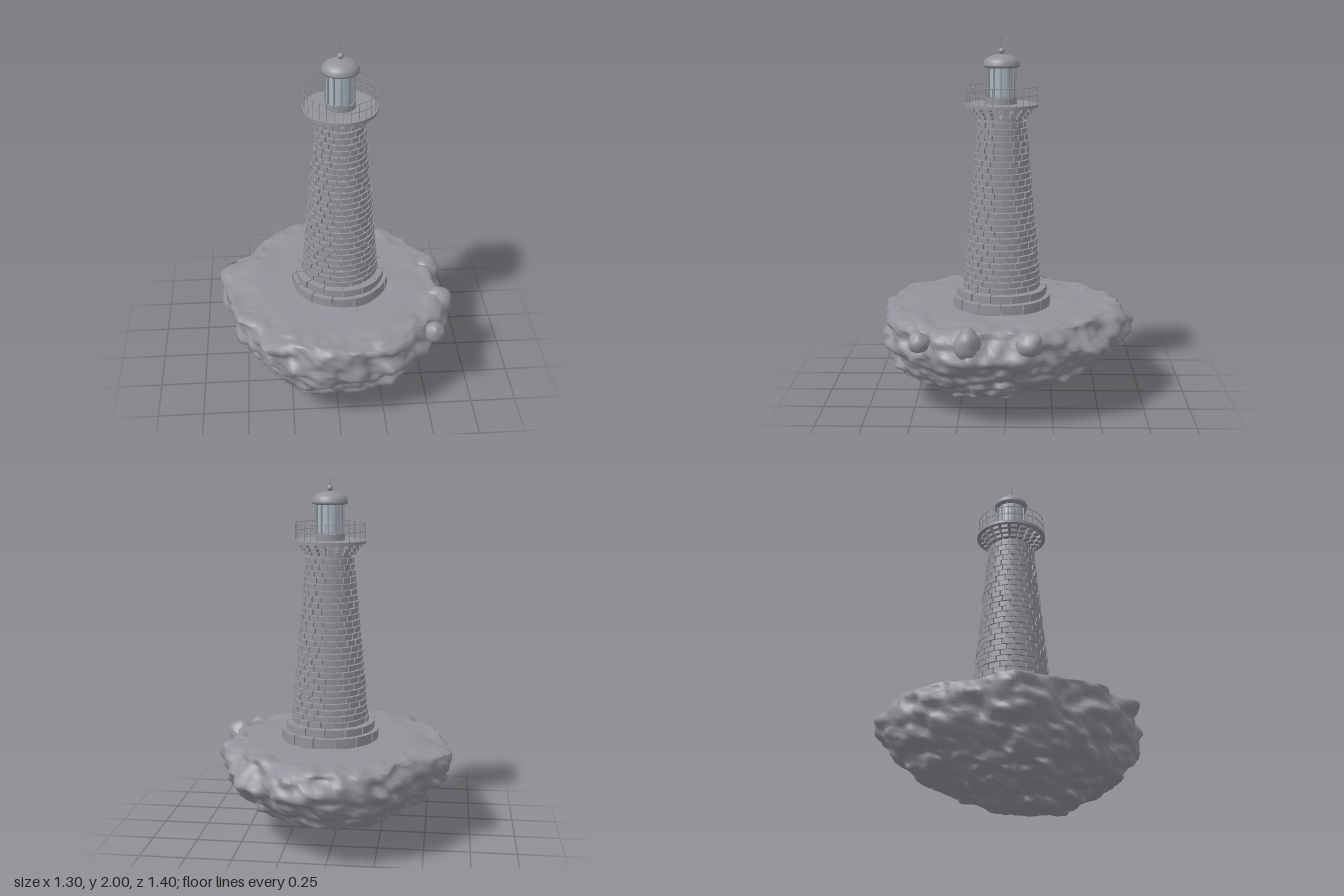
import * as THREE from 'three';
import { mergeGeometries } from 'three/addons/utils/BufferGeometryUtils.js';

const stone = new THREE.MeshStandardMaterial({ color: 0x92939a, side: THREE.DoubleSide });
stone.name = 'grey stone';
const glass = new THREE.MeshStandardMaterial({ color: 0xa9b6c0 });
glass.name = 'pale glass';

// Seeded hash and smooth 3D noise in -1..1
function hash(x, y, z) {
  let h = (x * 374761393 + y * 668265263 + z * 1274126177) | 0;
  h = Math.imul(h ^ (h >>> 13), 1274126177);
  return (((h ^ (h >>> 16)) >>> 0) / 4294967295) * 2 - 1;
}
function noise(x, y, z) {
  const f = [x, y, z].map(Math.floor);
  const [u, v, w] = [x - f[0], y - f[1], z - f[2]].map((t) => t * t * (3 - 2 * t));
  let sum = 0;
  for (let i = 0; i < 8; i++) {
    const a = i & 1, b = (i >> 1) & 1, c = i >> 2;
    sum += hash(f[0] + a, f[1] + b, f[2] + c) * (a ? u : 1 - u) * (b ? v : 1 - v) * (c ? w : 1 - w);
  }
  return sum;
}

function add(group, name, geometry, y = 0, material = stone) {
  const mesh = new THREE.Mesh(geometry, material);
  mesh.name = name;
  mesh.position.y = y;
  group.add(mesh);
  return mesh;
}

// Floating island: plan outline every 15 degrees from +x towards +z
const OUTLINE = [0.645, 0.655, 0.675, 0.67, 0.7, 0.675, 0.67, 0.685, 0.675, 0.655, 0.65, 0.615,
  0.645, 0.655, 0.57, 0.605, 0.65, 0.655, 0.69, 0.685, 0.655, 0.655, 0.635, 0.64];
// Pairs of height and share of the outline, from the top centre to the lowest point
const PROFILE = [[0.545, 0], [0.545, 0.3], [0.545, 0.6], [0.543, 0.85], [0.537, 0.95], [0.515, 0.985], [0.46, 0.99],
  [0.4, 0.985], [0.34, 0.94], [0.28, 0.88], [0.21, 0.78], [0.15, 0.64], [0.1, 0.49], [0.05, 0.31], [0.015, 0.15], [0.002, 0]];

function islandGeometry() {
  const { smoothstep } = THREE.MathUtils;
  const cols = 200, rows = 120, pos = [], index = [];
  const curve = new THREE.CatmullRomCurve3(PROFILE.map(([y, s]) => new THREE.Vector3(s, y, 0)), false, 'centripetal');
  for (let r = 0; r <= rows; r++) {
    const p = curve.getPointAt(r / rows);
    const s = Math.max(p.x, 0), drop = Math.max(0, (0.4 - p.y) / 0.4);
    const isTop = p.y > 0.52;
    const rim = smoothstep(p.y, 0.42, 0.53), below = 1 - smoothstep(p.y, 0.4, 0.5);
    for (let c = 0; c < cols; c++) {
      const a = (c / cols) * Math.PI * 2, k = (c / cols) * 24, i = Math.floor(k);
      const ca = Math.cos(a), sa = Math.sin(a);
      const t = k - i, e = t * t * (3 - 2 * t);
      // The rim steps in at the back and on +x; the wall below it steps in on -x
      const tuck = 1 - rim * (0.05 * Math.max(0, ca) + 0.06 * Math.max(0, -sa)) - below * 0.05 * Math.max(0, -ca);
      const radius = (OUTLINE[i] * (1 - e) + OUTLINE[(i + 1) % 24] * e) * tuck;
      const x = ca * radius * s, z = sa * radius * s;
      const lumps = 0.022 * noise(x * 5, p.y * 14, z * 5) + 0.03 * noise(x * 11 + 9, p.y * 20, z * 11)
        + 0.016 * noise(x * 23, p.y * 36 + 5, z * 23) + 0.006 * noise(x * 45, p.y * 60, z * 45 + 3);
      const edge = smoothstep(s, 0.65, 0.95);
      const out = lumps * (isTop ? edge : Math.min(1, s * 3));
      const lift = isTop
        ? 0.005 * noise(x * 7, 3, z * 7) + edge * (0.012 * noise(x * 9, 7, z * 9) + 0.008 * noise(x * 22, 1, z * 22)
          - 0.012 * Math.max(0, -ca))
        : -drop * 0.5 * lumps * Math.min(1, s * 3);
      pos.push(x + ca * out, Math.max(0, p.y + lift), z + sa * out + 0.12 * drop);
      if (r < rows) {
        const d = (c + 1) % cols, A = r * cols + c, B = r * cols + d;
        index.push(A, B, A + cols, B, B + cols, A + cols);
      }
    }
  }
  const g = new THREE.BufferGeometry();
  g.setAttribute('position', new THREE.Float32BufferAttribute(pos, 3));
  g.setIndex(index);
  g.computeVertexNormals();
  return g;
}

// Lumpy boulder with smooth normals
function boulderGeometry(rx, ry, rz, seed) {
  const g = new THREE.SphereGeometry(1, 28, 20);
  const p = g.attributes.position;
  for (let i = 0; i < p.count; i++) {
    const x = p.getX(i), y = p.getY(i), z = p.getZ(i);
    const k = 1 + 0.14 * noise(x * 1.6 + seed, y * 1.6, z * 1.6);
    p.setXYZ(i, x * k * rx, y * k * ry, z * k * rz);
  }
  g.computeVertexNormals();
  return g;
}

// One ring of wedge-shaped blocks, each with its outer face bent to the ring
function courseBlocks(list, { y, height, outer, depth, count, turn = 0, gap = 0.007, jitter = 0 }) {
  for (let i = 0; i < count; i++) {
    const turned = ((i + turn) / count) * Math.PI * 2;
    const r = outer + jitter * noise(i * 3.7 + 0.5, y * 91, 2.5);
    const g = new THREE.BoxGeometry(1, height, depth, 2, 1, 1);
    const p = g.attributes.position;
    for (let v = 0; v < p.count; v++) {
      const radius = r - depth / 2 + p.getZ(v);
      const angle = p.getX(v) * (Math.PI * 2 / count - gap / radius);
      p.setXYZ(v, Math.sin(angle) * radius, p.getY(v) + y + height / 2, Math.cos(angle) * radius);
    }
    g.computeVertexNormals();
    list.push(g.rotateY(turned));
  }
}

export function createModel() {
  const model = new THREE.Group();
  model.name = 'lighthouseIsland';
  add(model, 'island', islandGeometry());

  // Boulders set in the +x rim
  [[0.575, 0.475, 0.185, 0.085, 0.09, 0.07], [0.525, 0.475, 0.44, 0.055, 0.055, 0.055],
    [0.55, 0.485, -0.125, 0.08, 0.07, 0.08]]
    .forEach(([x, y, z, rx, ry, rz], i) => add(model, 'boulder', boulderGeometry(rx, ry, rz, i * 5 + 1)).position.set(x, y, z));

  const tower = new THREE.Group();
  tower.name = 'lighthouse';
  tower.position.set(0.04, 0, 0.027);
  model.add(tower);

  // Plinth of two block courses
  const plinth = [];
  courseBlocks(plinth, { y: 0.53, height: 0.07, outer: 0.27, depth: 0.08, count: 14, gap: 0.006, jitter: 0.005 });
  courseBlocks(plinth, { y: 0.603, height: 0.04, outer: 0.248, depth: 0.07, count: 14, turn: 0.5, gap: 0.006, jitter: 0.005 });
  add(tower, 'plinth', mergeGeometries(plinth));

  // Tapering brick shaft around a solid core
  const bricks = [], courses = 27, bottom = 0.645, top = 1.555, step = (top - bottom) / courses;
  for (let i = 0; i < courses; i++) {
    courseBlocks(bricks, { y: bottom + i * step, height: step - 0.005, outer: 0.213 - 0.081 * (i / (courses - 1)),
      depth: 0.03, count: 18, turn: (i % 2) * 0.5 + 0.2 * hash(i, 4, 9), jitter: 0.005 });
  }
  add(tower, 'shaftBricks', mergeGeometries(bricks));
  add(tower, 'shaftCore', new THREE.CylinderGeometry(0.114, 0.196, 1.035, 40), 1.0525);

  // Stepped corbels under the gallery, with open joints
  const corbels = [];
  [[1.566, 0.142], [1.587, 0.158], [1.608, 0.175]].forEach(([y, outer], i) =>
    courseBlocks(corbels, { y, height: 0.018, outer, depth: 0.06, count: 20, gap: 0.012 + i * 0.004, turn: 0.5 }));
  add(tower, 'corbels', mergeGeometries(corbels));

  // Gallery floor and railing
  add(tower, 'galleryFloor', new THREE.CylinderGeometry(0.197, 0.197, 0.016, 48), 1.633);
  const rail = [];
  for (const y of [1.69, 1.733]) {
    rail.push(new THREE.TorusGeometry(0.188, 0.0022, 6, 64).rotateX(Math.PI / 2).translate(0, y, 0));
  }
  for (let i = 0; i < 28; i++) {
    const a = (i / 28) * Math.PI * 2;
    rail.push(new THREE.CylinderGeometry(0.0022, 0.0022, 0.094, 6).translate(Math.cos(a) * 0.188, 1.686, Math.sin(a) * 0.188));
  }
  add(tower, 'galleryRailing', mergeGeometries(rail));

  // Lantern room with upright bars
  add(tower, 'lanternGlass', new THREE.CylinderGeometry(0.073, 0.073, 0.2, 40), 1.74, glass);
  add(tower, 'lanternSill', new THREE.CylinderGeometry(0.081, 0.081, 0.035, 40), 1.657);
  const bars = [];
  for (let i = 0; i < 12; i++) {
    bars.push(new THREE.BoxGeometry(0.008, 0.17, 0.012).translate(0, 1.755, 0.074).rotateY((i / 12) * Math.PI * 2));
  }
  add(tower, 'lanternBars', mergeGeometries(bars));

  // Domed roof, ball and spire
  const eaves = [[0, 1.83], [0.082, 1.83], [0.096, 1.836], [0.097, 1.846]];
  const dome = Array.from({ length: 12 }, (_, i) => {
    const a = (i / 11) * Math.PI / 2;
    return [Math.cos(a) * 0.095, 1.848 + Math.sin(a) * 0.053];
  });
  add(tower, 'domeRoof', new THREE.LatheGeometry([...eaves, ...dome].map(([x, y]) => new THREE.Vector2(Math.max(x, 0), y)), 48));
  add(tower, 'roofBall', new THREE.SphereGeometry(0.016, 20, 14), 1.917);
  add(tower, 'spire', new THREE.CylinderGeometry(0.001, 0.0018, 0.075, 8), 1.9625);
  return model;
}
